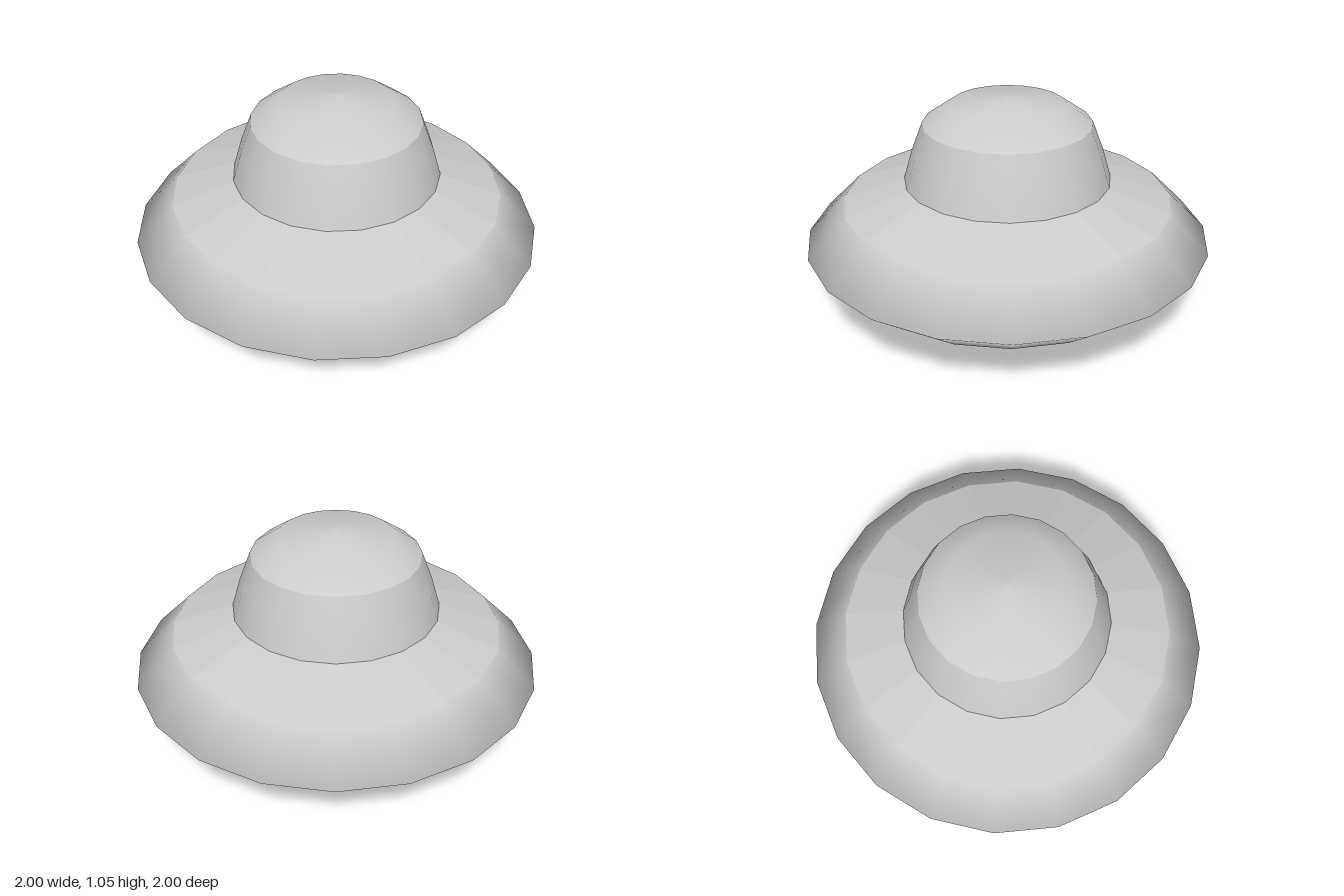
import * as THREE from 'three';

const SIDES = 20;

export function createModel() {
  const saucer = new THREE.Group();
  saucer.name = 'flyingSaucer';
  const smooth = new THREE.MeshStandardMaterial({ color: 0xcccccc });
  const faceted = new THREE.MeshStandardMaterial({ color: 0xcccccc, flatShading: true });

  // Each band is its own lathe, so edges between bands stay sharp
  const band = (name, profile, material) => {
    const points = profile.map(([r, y]) => new THREE.Vector2(r, y));
    const mesh = new THREE.Mesh(new THREE.LatheGeometry(points, SIDES), material);
    mesh.name = name;
    saucer.add(mesh);
  };

  band('underside', [[0, 0.042], [0.81, 0.187]], smooth);
  band('rim', [[0.81, 0.187], [1, 0.345], [0.81, 0.534]], smooth);
  band('upperDeck', [[0.81, 0.534], [0.508, 0.637]], faceted);
  band('cabinWall', [[0.508, 0.637], [0.465, 0.78], [0.41, 0.922]], smooth);
  band('cabinRoof', [[0.41, 0.922], [0.28, 1.013], [0, 1.052]], smooth);

  // Three flattened landing pods, tilted to lie along the sloping underside
  const podGeometry = new THREE.SphereGeometry(0.176, 10, 6);
  podGeometry.scale(1, 0.68, 1);
  const slope = Math.atan2(0.145, 0.81);
  for (let i = 0; i < 3; i++) {
    const mount = new THREE.Group();
    mount.name = 'landingPodMount' + (i + 1);
    mount.rotation.y = Math.PI + (i * Math.PI * 2) / 3;
    const pod = new THREE.Mesh(podGeometry, faceted);
    pod.name = 'landingPod' + (i + 1);
    pod.position.set(0.41, 0.121, 0);
    pod.rotation.z = slope;
    mount.add(pod);
    saucer.add(mount);
  }

  return saucer;
}
